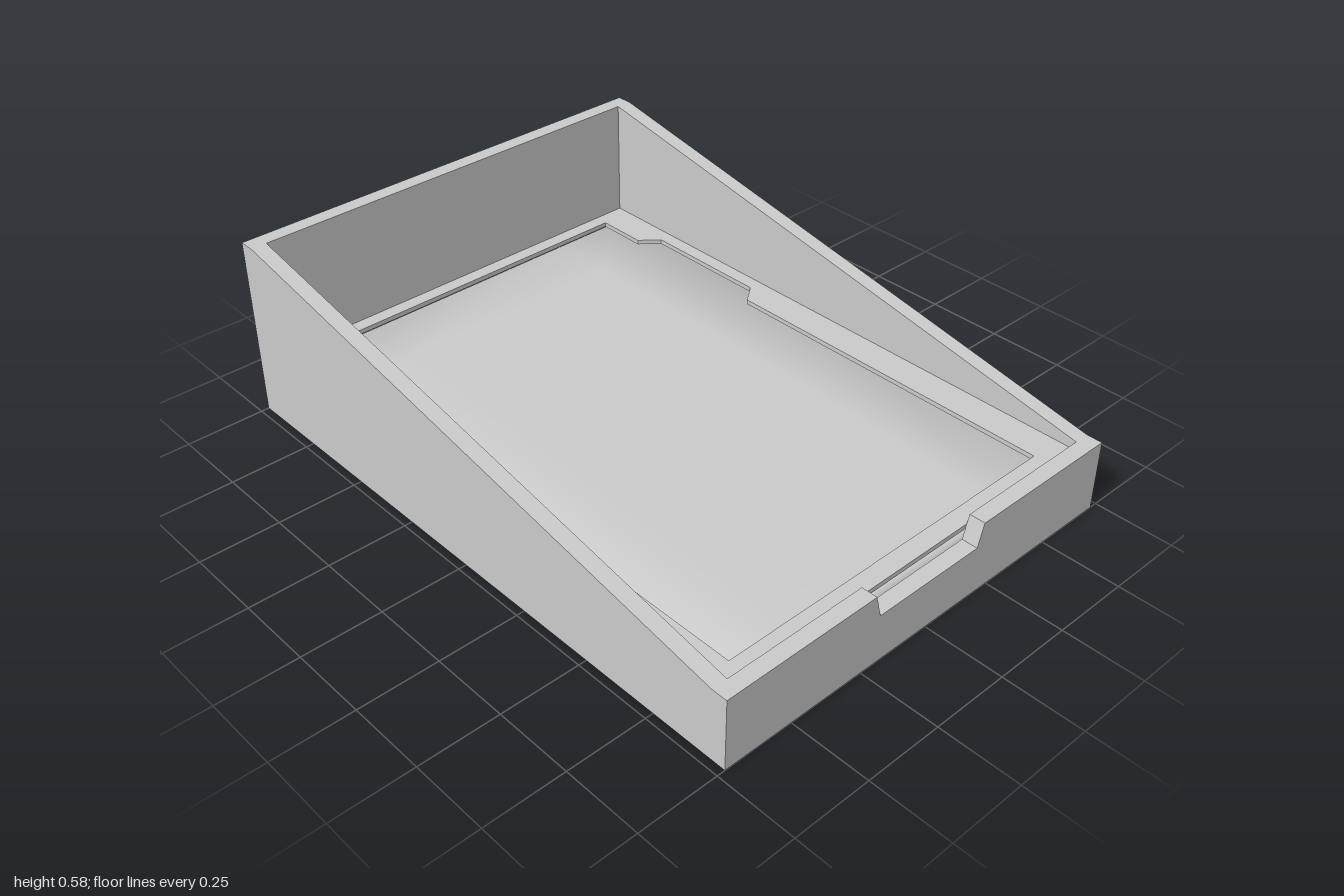
import * as THREE from 'three';
import { mergeVertices } from 'three/addons/utils/BufferGeometryUtils.js';

const W = 0.725, D = 1, T = 0.05;            // half width, half depth, wall thickness
const FRONT_H = 0.228, BACK_H = 0.583;
const FLOOR = 0.05, LEDGE = 0.2, PLATE = 0.015;

const material = new THREE.MeshStandardMaterial({ color: 0xcccccc });

function add(group, name, geometry, x = 0, y = 0, z = 0) {
  const mesh = new THREE.Mesh(geometry, material);
  mesh.name = name;
  mesh.position.set(x, y, z);
  group.add(mesh);
}

function polygon(points) {
  return new THREE.Shape(points.map(([x, y]) => new THREE.Vector2(x, y)));
}

function extrude(shape, depth) {
  return new THREE.ExtrudeGeometry(shape, { depth, bevelEnabled: false });
}

// Softly shaded slab: a flat middle that drops a little towards its rim
function padGeometry(bottom, top, drop) {
  const geo = new THREE.BoxGeometry(2, 1, 2, 3, 1, 3);
  const xs = [-0.66, -0.4, 0.38, 0.66];
  const zs = [-0.935, -0.7, 0.15, 0.935];
  const p = geo.attributes.position;
  for (let i = 0; i < p.count; i++) {
    const ix = Math.round((p.getX(i) + 1) * 1.5);
    const iz = Math.round((p.getZ(i) + 1) * 1.5);
    const rim = ix % 3 === 0 || iz % 3 === 0;
    p.setXYZ(i, xs[ix], p.getY(i) < 0 ? bottom : top - (rim ? drop : 0), zs[iz]);
  }
  geo.deleteAttribute('uv');
  geo.deleteAttribute('normal');
  const smooth = mergeVertices(geo);
  smooth.computeVertexNormals();
  return smooth;
}

export function createModel() {
  const model = new THREE.Group();
  model.name = 'slopedTray';

  // Base and back wall
  add(model, 'base', new THREE.BoxGeometry(2 * (W - T), FLOOR, 2 * (D - T)), 0, FLOOR / 2, 0);
  add(model, 'backWall', new THREE.BoxGeometry(2 * W, BACK_H, T), 0, BACK_H / 2, -D + T / 2);

  // Front wall with a tapered finger notch
  const front = polygon([
    [-W, 0], [W, 0], [W, FRONT_H], [0.21, FRONT_H], [0.19, 0.155],
    [-0.19, 0.155], [-0.21, FRONT_H], [-W, FRONT_H],
  ]);
  add(model, 'frontWall', extrude(front, T), 0, 0, D - T);

  // Sloping side walls
  const e = D - T;
  const side = polygon([[-e, 0], [e, 0], [e, FRONT_H], [-e, BACK_H]]);
  const sideGeo = extrude(side, T).rotateY(-Math.PI / 2).translate(T / 2, 0, 0);
  for (const [name, s] of [['leftWall', 1], ['rightWall', -1]]) {
    add(model, name, sideGeo, s * (W - T / 2), 0, 0);
  }

  // Thin frame plate: off-centre window with a grip cut-out on the left edge
  const w = W - T;
  const plate = polygon([[-w, -e], [w, -e], [w, e], [-w, e]]);
  plate.holes.push(polygon([
    [-0.61, 0.905], [0.57, 0.905], [0.57, 0.74], [0.63, 0.69],
    [0.63, 0.27], [0.57, 0.225], [0.57, -0.89], [-0.61, -0.89],
  ]));
  add(model, 'framePlate', extrude(plate, PLATE).rotateX(-Math.PI / 2), 0, LEDGE - PLATE, 0);

  // Pad under the frame
  add(model, 'pad', padGeometry(FLOOR, LEDGE - PLATE - 0.003, 0.02));

  return model;
}
